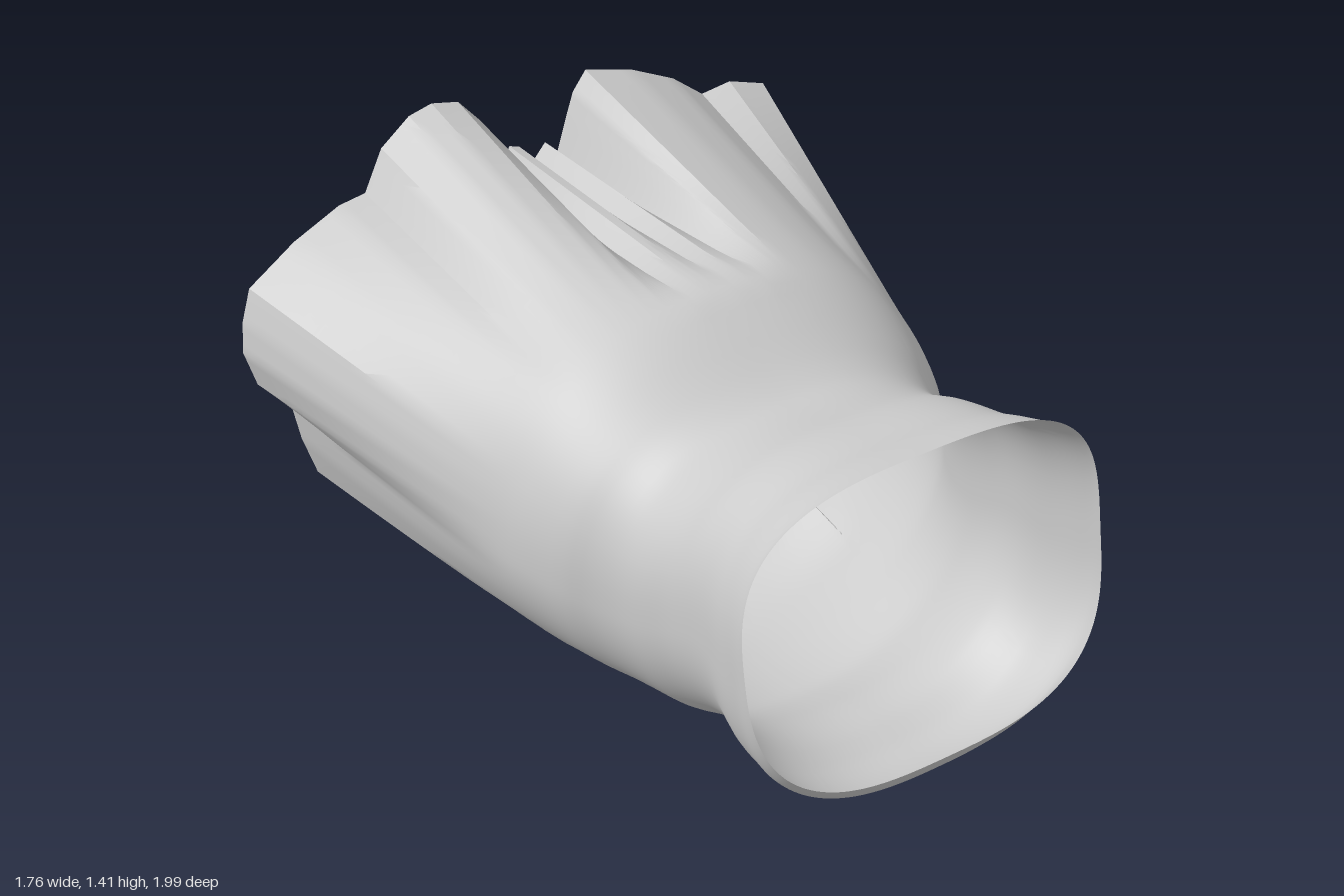
import * as THREE from 'three';
import { toCreasedNormals } from 'three/addons/utils/BufferGeometryUtils.js';

// Rings from the front rim to the start of the flare:
// [z at top, z at bottom, half width, top y, bottom y]
const RINGS = [
  [0.86, 1.0, 0.515, 1.255, 0.455],
  [0.84, 0.96, 0.515, 1.25, 0.39],
  [0.78, 0.9, 0.5, 1.235, 0.355],
  [0.72, 0.81, 0.487, 1.215, 0.335],
  [0.64, 0.7, 0.47, 1.2, 0.355],
  [0.57, 0.6, 0.47, 1.18, 0.335],
  [0.5, 0.5, 0.472, 1.15, 0.285],
  [0.42, 0.41, 0.49, 1.12, 0.24],
  [0.34, 0.34, 0.51, 1.105, 0.225],
  [0.27, 0.27, 0.54, 1.12, 0.215],
  [0.2, 0.2, 0.58, 1.15, 0.205],
  [0.1, 0.1, 0.615, 1.2, 0.18],
  [0, 0, 0.64, 1.24, 0.15],
];

// Pleated hem outline [x, y], clockwise seen from the front, from the top fold
const HEM = [
  [0, 1.2], [0.03, 1.13], [0.08, 1.19], [0.11, 1.13], [0.15, 1.26], [0.17, 1.32],
  [0.21, 1.375], [0.35, 1.34], [0.48, 1.28], [0.57, 1.21], [0.66, 1.225], [0.77, 1.19],
  [0.8, 1.12], [0.8, 1.02], [0.85, 0.88], [0.88, 0.78], [0.86, 0.68], [0.79, 0.61],
  [0.76, 0.5], [0.7, 0.4], [0.58, 0.3], [0.48, 0.31], [0.45, 0.37], [0.4, 0.33],
  [0.36, 0.26], [0.34, 0.18], [0.31, 0.1], [0.18, 0.0], [0.09, 0.08], [0.03, 0.15],
  [-0.07, 0.16], [-0.12, 0.1], [-0.27, 0.05], [-0.34, 0.12], [-0.36, 0.18], [-0.35, 0.32],
  [-0.45, 0.38], [-0.5, 0.41], [-0.6, 0.355], [-0.7, 0.42], [-0.74, 0.55], [-0.76, 0.66],
  [-0.85, 0.77], [-0.88, 0.88], [-0.87, 0.97], [-0.84, 1.06], [-0.7, 1.15], [-0.56, 1.21],
  [-0.48, 1.22], [-0.42, 1.33], [-0.33, 1.395], [-0.26, 1.41], [-0.18, 1.39], [-0.12, 1.32],
  [-0.1, 1.24], [-0.07, 1.13], [-0.03, 1.21],
];

const CENTRE_Y = 0.72;
const SUBDIVIDE = 4;   // columns per hem edge
const STEPS = 3;       // rows per ring gap
const GATHER = 0.45;   // how evenly the cloth is spread where pleats meet the neck
const TURN = Math.PI * 2;
const lerp = THREE.MathUtils.lerp;

// Neck angle of each hem point, clockwise from straight up:
// its direction blended with its share of the hem's length
function neckAngles() {
  const lengths = [0];
  HEM.forEach(([x, y], i) => {
    const [nx, ny] = HEM[(i + 1) % HEM.length];
    lengths.push(lengths[i] + Math.hypot(nx - x, ny - y));
  });
  const total = lengths[HEM.length];
  const angles = HEM.map(([x, y], i) => {
    const direction = (Math.atan2(x, y - CENTRE_Y) + TURN) % TURN;
    return lerp(direction, (TURN * lengths[i]) / total, GATHER);
  });
  return [...angles, TURN];
}

// Point at a given angle on a rounded ring, squarer above than below
function ringPoint([zTop, zBottom, halfWidth, top, bottom], angle, flare) {
  const halfHeight = (top - bottom) / 2;
  const s = Math.sin(angle), c = Math.cos(angle);
  const power = c > 0 ? lerp(3, 2.3, flare) : lerp(2.95, 1.87, Math.sqrt(flare));
  const r = (Math.abs(s / halfWidth) ** power + Math.abs(c / halfHeight) ** power) ** (-1 / power);
  const drop = (1 - (r * c) / halfHeight) / 2;
  return new THREE.Vector3(r * s, (top + bottom) / 2 + r * c, lerp(zTop, zBottom, drop * drop));
}

// One lengthwise strand of cloth from front rim to hem
function strand(x, y, angle) {
  const points = RINGS.map((ring, i) => ringPoint(ring, angle, i / (RINGS.length - 1)));
  const start = points[points.length - 1];
  const up = Math.cos(angle);
  const end = new THREE.Vector3(x, y, -0.905 - (up > 0 ? 0.055 : 0.085) * up * up);
  const bow = up < 0 ? 1 + 0.28 * up : 1; // the underside sags outward
  for (const t of [0.2, 0.4, 0.6, 0.8, 1]) {
    const p = start.clone().lerp(end, t ** bow);
    p.z = lerp(start.z, end.z, t);
    points.push(p);
  }
  const curve = new THREE.CatmullRomCurve3(points);
  return curve.getPoints((points.length - 1) * STEPS);
}

function sleeveGeometry() {
  const strands = [];
  const angles = neckAngles();
  HEM.forEach((p, i) => {
    const q = HEM[(i + 1) % HEM.length];
    for (let k = 0; k < SUBDIVIDE; k++) {
      const t = k / SUBDIVIDE;
      strands.push(strand(lerp(p[0], q[0], t), lerp(p[1], q[1], t), lerp(angles[i], angles[i + 1], t)));
    }
  });

  const rows = strands[0].length;
  const positions = [];
  const indices = [];
  strands.forEach((points, j) => {
    const next = (j + 1) % strands.length;
    points.forEach((p, i) => {
      positions.push(p.x, p.y, p.z);
      if (i === rows - 1) return;
      const a = j * rows + i, b = next * rows + i;
      indices.push(a, b, a + 1, b, b + 1, a + 1);
    });
  });
  const geometry = new THREE.BufferGeometry();
  geometry.setAttribute('position', new THREE.Float32BufferAttribute(positions, 3));
  geometry.setIndex(indices);
  return toCreasedNormals(geometry, 0.4);
}

export function createModel() {
  const group = new THREE.Group();
  group.name = 'flaredSleeve';
  // Open cloth tube: slanted rim, gathered neck, pleated flare
  const material = new THREE.MeshStandardMaterial({ color: 0xcccccc, side: THREE.DoubleSide });
  const sleeve = new THREE.Mesh(sleeveGeometry(), material);
  sleeve.name = 'pleatedCloth';
  group.add(sleeve);
  return group;
}
